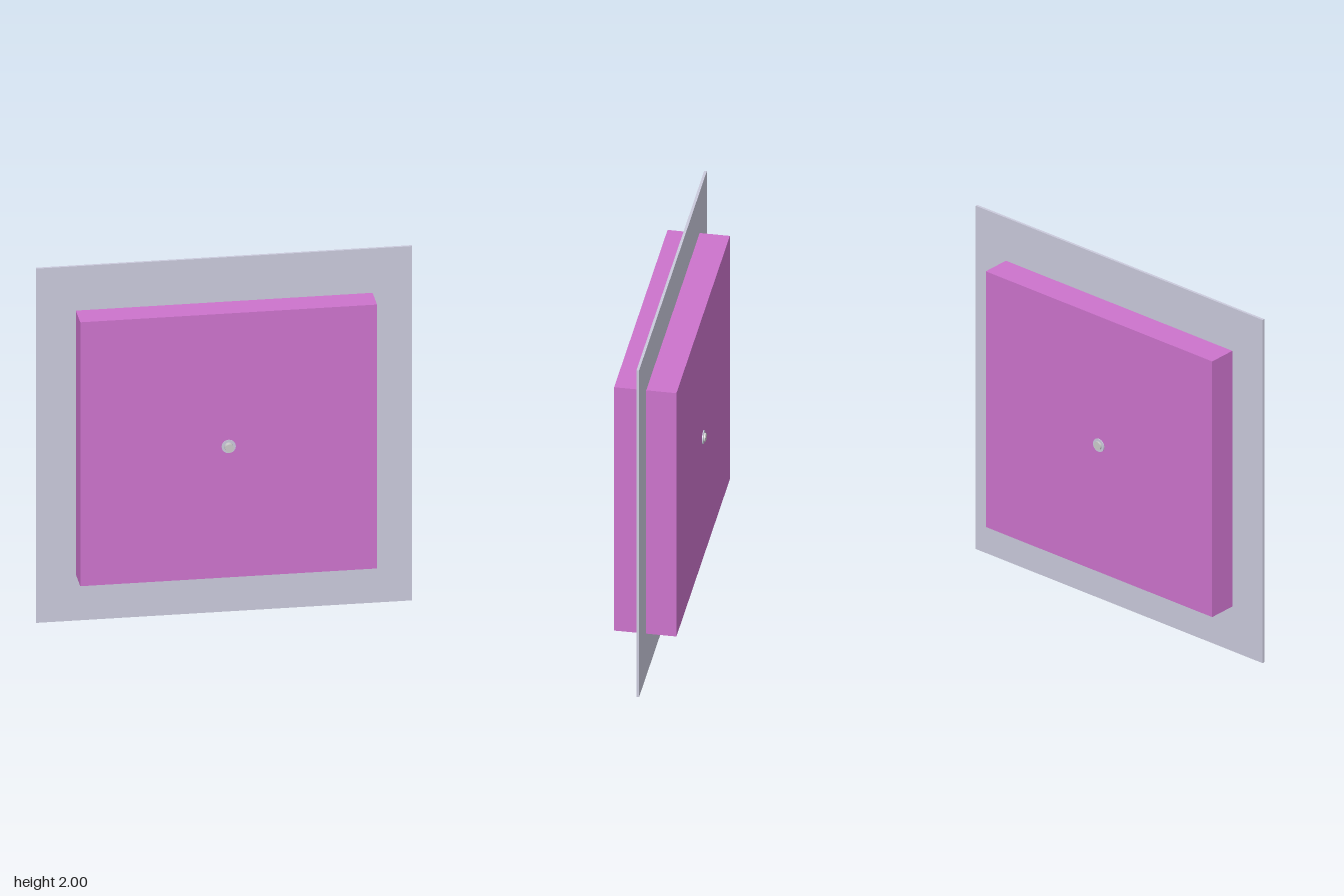
import * as THREE from 'three';

export function createModel() {
  const group = new THREE.Group();
  const panelMat = new THREE.MeshStandardMaterial({ color: 0xcacadc });
  const blockMat = new THREE.MeshStandardMaterial({ color: 0xcc73cc });
  const metalMat = new THREE.MeshStandardMaterial({ color: 0xcccccc });

  const add = (name, geometry, material, x, y, z) => {
    const mesh = new THREE.Mesh(geometry, material);
    mesh.name = name;
    mesh.position.set(x, y, z);
    group.add(mesh);
    return mesh;
  };
  // Cylinder lying along z
  const disc = (radius, depth) =>
    new THREE.CylinderGeometry(radius, radius, depth, 32).rotateX(Math.PI / 2);

  // Thin square sheet with the thick block passing through it
  add('panel', new THREE.BoxGeometry(1.97, 2, 0.014), panelMat, 0, 1, -0.006);
  add('block', new THREE.BoxGeometry(1.555, 1.49, 0.328), blockMat, 0, 1.005, -0.008);

  // Central pin, showing on both faces, with a thin washer on each
  add('pin', disc(0.023, 0.374), metalMat, 0, 1, 0);
  add('frontWasher', disc(0.037, 0.008), panelMat, 0, 1, 0.156);
  add('backWasher', disc(0.037, 0.008), panelMat, 0, 1, -0.173);

  return group;
}
